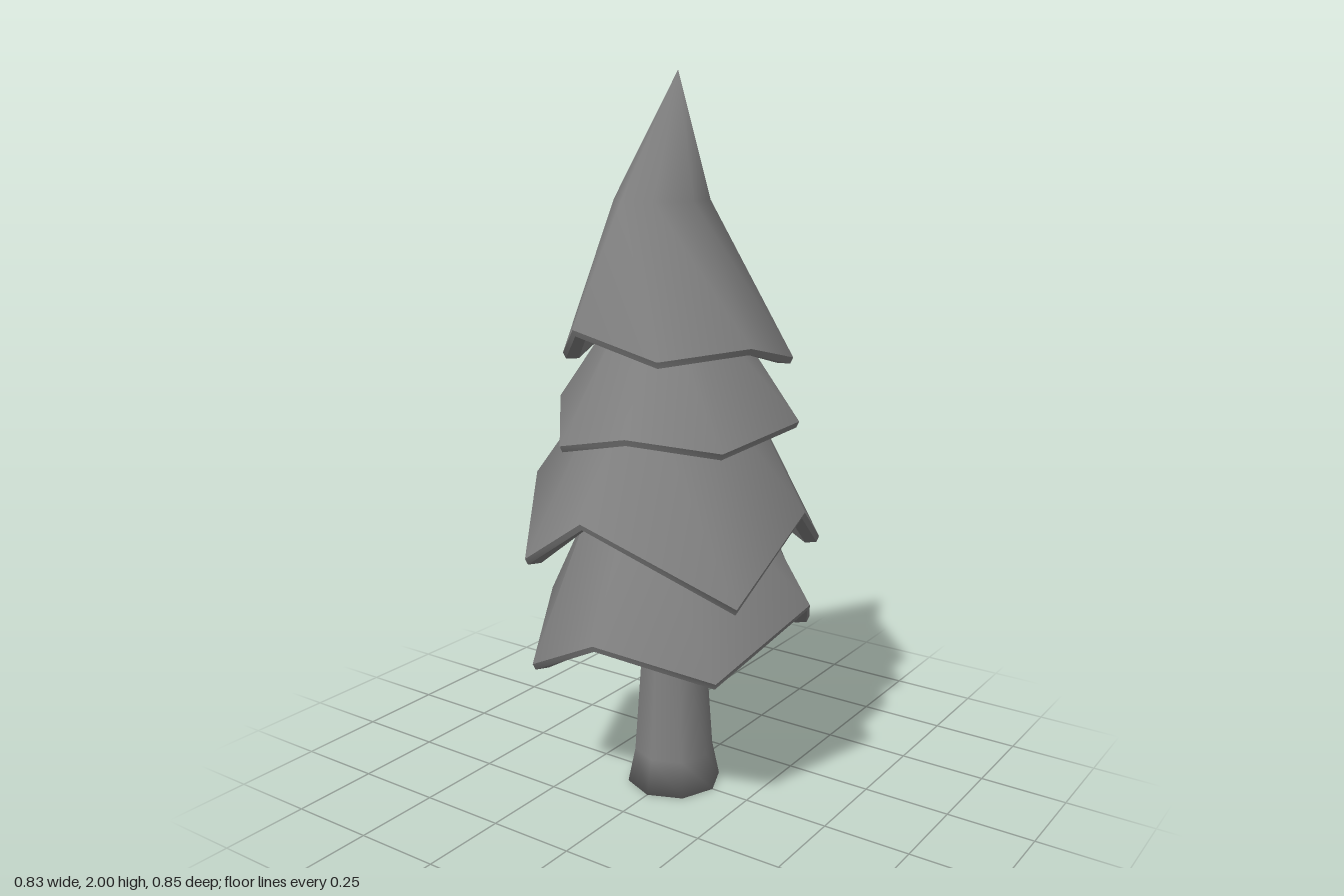
import * as THREE from 'three';
import { mergeGeometries } from 'three/addons/utils/BufferGeometryUtils.js';

// Smooth closed strip through a list of rings, running down the outside
function strip(rings) {
  const n = rings[0].length, index = [];
  for (let k = 0; k < rings.length - 1; k++) {
    for (let i = 0; i < n; i++) {
      const j = (i + 1) % n, a = k * n, b = a + n;
      index.push(b + i, b + j, a + i, b + j, a + j, a + i);
    }
  }
  const g = new THREE.BufferGeometry();
  g.setAttribute('position', new THREE.Float32BufferAttribute(rings.flat(2), 3));
  g.setIndex(index);
  g.computeVertexNormals();
  return g;
}

// Hollow skirt of foliage: crown rings [y, radius, cx, cz], zigzag rim, lip and inner wall
function foliage(crown, rim, inside) {
  const ring = ([y, r, cx = 0, cz = 0]) => rim.map(([x, , z]) => {
    const d = Math.hypot(x, z);
    return [cx + x / d * r, y, cz + z / d * r];
  });
  const inset = (d, dy) => rim.map(([x, y, z]) => {
    const s = 1 - d / Math.hypot(x, z);
    return [x * s, y + dy, z * s];
  });
  const lip = inset(0.008, -0.017), inner = inset(0.045, -0.015);

  // The crown's first ring closes in a point with one shared upward normal
  const outside = strip([...crown.map(ring), rim]);
  rim.forEach((_, i) => outside.attributes.normal.setXYZ(i, 0, 1, 0));

  return mergeGeometries([
    outside,
    strip([rim, lip]),
    strip([lip, inner]),
    strip([inner, ...inside.map(ring)]),
  ]);
}

// Rim corners [x, y, z], counterclockwise from the front, alternating high and low
const tiers = [
  {
    name: 'bottomFoliage',
    crown: [[1.0, 0], [0.95, 0.2]],
    inside: [[0.9, 0.17], [0.93, 0.02]],
    rim: [[0.03, 0.555, 0.415], [0.3, 0.455, 0.245], [0.415, 0.61, -0.04], [0.268, 0.46, -0.31],
      [-0.04, 0.565, -0.42], [-0.322, 0.482, -0.277], [-0.42, 0.51, 0.033], [-0.262, 0.4, 0.314]],
  },
  {
    name: 'lowerFoliage',
    crown: [[1.28, 0], [1.23, 0.17]],
    inside: [[1.18, 0.14], [1.21, 0.02]],
    rim: [[0, 0.88, 0.42], [0.36, 0.672, 0.243], [0.36, 0.845, -0.1], [0.262, 0.69, -0.368],
      [-0.115, 0.835, -0.425], [-0.35, 0.745, -0.19], [-0.39, 0.895, 0.125], [-0.27, 0.71, 0.325]],
  },
  {
    name: 'upperFoliage',
    crown: [[1.5, 0], [1.43, 0.12]],
    inside: [[1.38, 0.09], [1.42, 0.02]],
    rim: [[0.095, 1.1, 0.355], [0.28, 1.055, 0.19], [0.35, 1.1, -0.075], [0.145, 1.065, -0.33],
      [-0.06, 1.115, -0.32], [-0.31, 1.07, -0.16], [-0.31, 1.125, 0.11], [-0.16, 1.037, 0.3]],
  },
  {
    name: 'topFoliage',
    crown: [[2, 0, 0.01, -0.004], [1.67, 0.13, -0.03, 0.015]],
    inside: [[1.64, 0.1, -0.03, 0.015], [1.8, 0.01]],
    rim: [[0.145, 1.29, 0.285], [0.293, 1.31, 0.08], [0.28, 1.252, -0.16], [0.08, 1.355, -0.305],
      [-0.17, 1.29, -0.29], [-0.3, 1.335, -0.13], [-0.29, 1.25, 0.12], [-0.105, 1.352, 0.305]],
  },
];

export function createModel() {
  const tree = new THREE.Group();
  tree.name = 'pineTree';
  const material = new THREE.MeshStandardMaterial({ color: 0x808080 });

  const add = (name, geometry) => {
    const mesh = new THREE.Mesh(geometry, material);
    mesh.name = name;
    tree.add(mesh);
  };

  // Tapered trunk with a flared foot
  const profile = [[0, 0], [0.135, 0], [0.114, 0.1], [0.086, 0.5], [0.06, 0.92]];
  add('trunk', new THREE.LatheGeometry(profile.map(([r, y]) => new THREE.Vector2(r, y)), 8));

  // Four overlapping skirts of foliage
  for (const t of tiers) add(t.name, foliage(t.crown, t.rim, t.inside));
  return tree;
}
